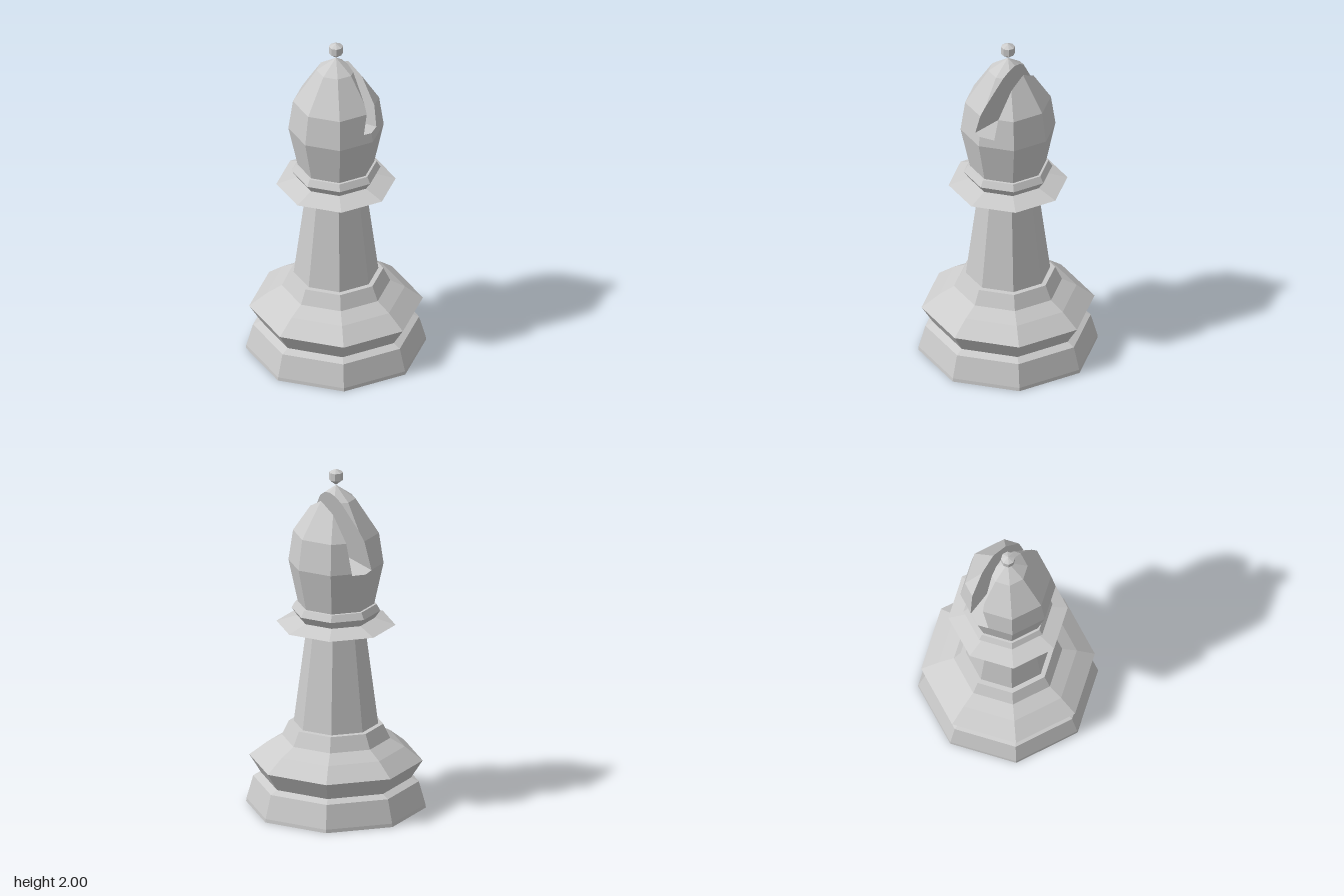
import * as THREE from 'three';

const SIDES = 8;
const material = new THREE.MeshStandardMaterial({ color: 0xcccccc, flatShading: true });
const vec = (x, y, z) => new THREE.Vector3(x, y, z);

// Eight-sided turned part from a [radius, height] profile, bottom to top
function turned(name, profile) {
  const points = profile.map(([r, y]) => new THREE.Vector2(r, y));
  const mesh = new THREE.Mesh(new THREE.LatheGeometry(points, SIDES), material);
  mesh.name = name;
  return mesh;
}

// Keep the part of a convex polygon behind the plane
function clip(polygon, plane) {
  const result = [];
  polygon.forEach((a, i) => {
    const b = polygon[(i + 1) % polygon.length];
    const da = plane.distanceToPoint(a), db = plane.distanceToPoint(b);
    if (da <= 0) result.push(a);
    if ((da < 0 && db > 0) || (da > 0 && db < 0)) result.push(a.clone().lerp(b, da / (da - db)));
  });
  return result;
}
const clipAll = (polygon, planes) => planes.reduce(clip, polygon);

// Large square lying in a plane and facing along its normal
function planeSquare(plane) {
  const center = plane.projectPoint(vec(0, 1.6, 0), vec(0, 0, 0));
  const n = plane.normal;
  const u = vec(0, 0, 1).cross(n).normalize();
  const v = n.clone().cross(u);
  return [[-1, -1], [1, -1], [1, 1], [-1, 1]].map(([s, t]) =>
    center.clone().addScaledVector(u, s).addScaledVector(v, t));
}

// Facets of the solid head
function headFacets() {
  const profile = [[0.216, 1.2], [0.27, 1.45], [0.244, 1.627], [0.111, 1.827], [0, 1.905]];
  const facets = [];
  const at = ([r, y], i) => {
    const a = (i / SIDES) * Math.PI * 2;
    return vec(r * Math.sin(a), y, r * Math.cos(a));
  };
  for (let i = 0; i < SIDES; i++) {
    for (let j = 0; j < profile.length - 1; j++) {
      const low = profile[j], high = profile[j + 1];
      const facet = [at(low, i), at(low, i + 1), at(high, i + 1)];
      if (high[0] > 0) facet.push(at(high, i));
      facets.push(facet);
    }
  }
  return facets;
}

// Head with a slanted slot cut through from front to back
function slottedHead() {
  const facets = headFacets();
  const shell = facets.map(([a, b, c]) => new THREE.Plane().setFromCoplanarPoints(a, b, c));
  const plane = (a, b, c) => new THREE.Plane().setFromCoplanarPoints(a, b, c);
  const wallA = plane(vec(-0.045, 1.51, 0), vec(0.05, 1.87, 0), vec(-0.045, 1.51, 1));
  const wallB = plane(vec(0.08, 1.5, 0), vec(0.08, 1.5, 1), vec(0.108, 1.83, 0));
  const floor = plane(vec(-0.045, 1.51, 0.26), vec(0.08, 1.502, 0.26), vec(-0.045, 1.444, -0.26));
  const flip = (p) => p.clone().negate();

  const polygons = [];
  // Outer skin on each side of the slot and beneath it
  for (const facet of facets) {
    polygons.push(clip(facet, wallA), clip(facet, wallB),
      clipAll(facet, [flip(wallA), flip(wallB), floor]));
  }
  // Slot walls and floor
  polygons.push(
    clipAll(planeSquare(wallA), [...shell, flip(floor)]),
    clipAll(planeSquare(wallB), [...shell, flip(floor)]),
    clipAll(planeSquare(floor), [...shell, flip(wallA), flip(wallB)]));

  const corners = [];
  for (const p of polygons) {
    for (let i = 1; i < p.length - 1; i++) corners.push(p[0], p[i], p[i + 1]);
  }
  const geometry = new THREE.BufferGeometry().setFromPoints(corners);
  geometry.computeVertexNormals();
  const mesh = new THREE.Mesh(geometry, material);
  mesh.name = 'slottedHead';
  return mesh;
}

export function createModel() {
  const model = new THREE.Group();
  model.name = 'chessBishop';
  model.add(
    turned('base', [[0, 0], [0.51, 0], [0.508, 0.02], [0.47, 0.155], [0.425, 0.175],
      [0.492, 0.28], [0.39, 0.36], [0.307, 0.407], [0.268, 0.49], [0.235, 0.492]]),
    turned('column', [[0.24, 0.49], [0.17, 1.03]]),
    turned('collarDisk', [[0.165, 1.03], [0.338, 1.082], [0.215, 1.122]]),
    turned('collarRing', [[0.22, 1.12], [0.252, 1.165], [0.23, 1.203], [0.21, 1.205]]),
    slottedHead(),
    turned('finial', [[0, 1.905], [0.04, 1.936], [0.04, 1.98], [0, 2]]),
  );
  return model;
}
